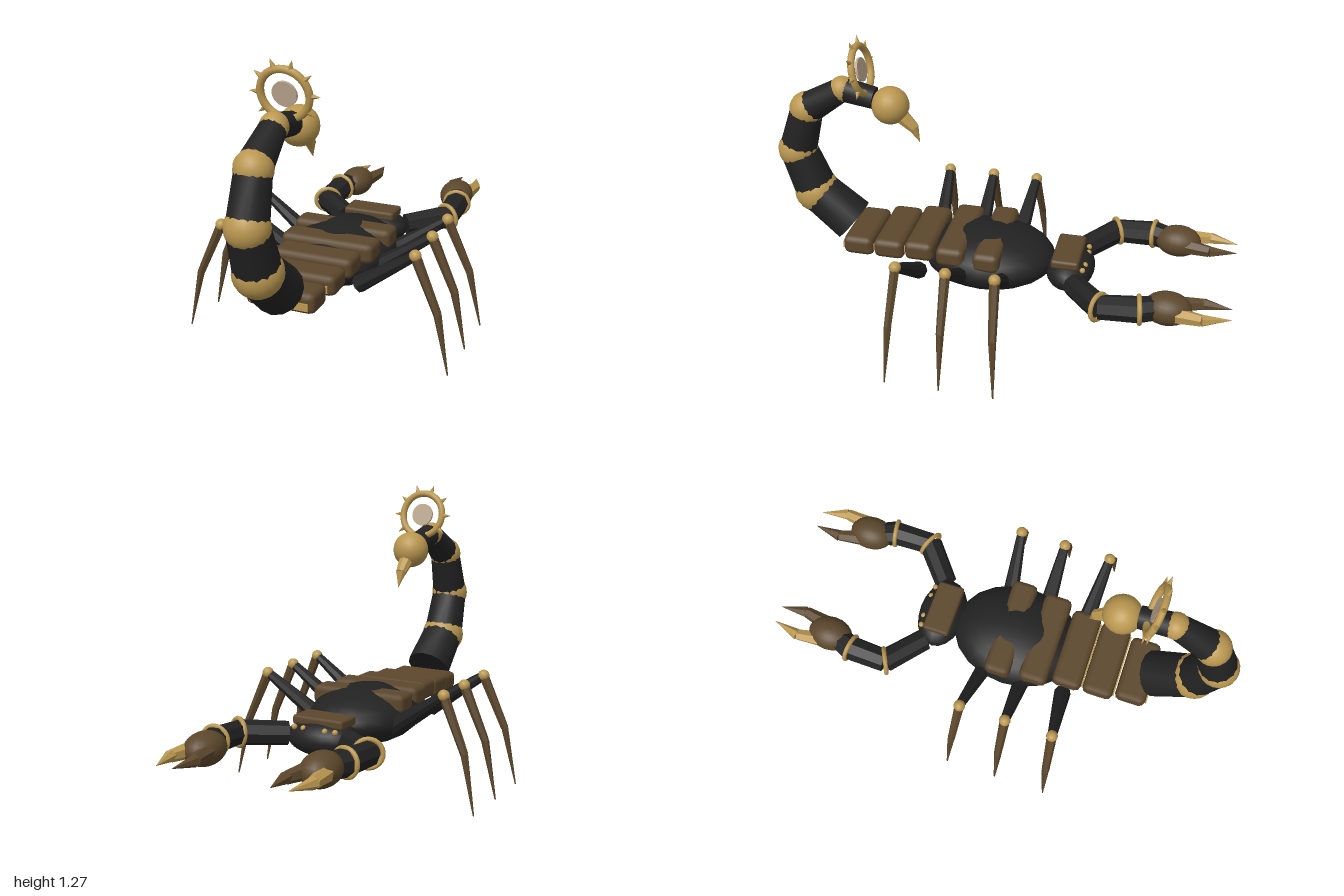
import * as THREE from 'three';
import { toCreasedNormals } from 'three/addons/utils/BufferGeometryUtils.js';
import { RoundedBoxGeometry } from 'three/addons/geometries/RoundedBoxGeometry.js';

const mat = (name, color) => {
  const m = new THREE.MeshStandardMaterial({ color });
  m.name = name;
  return m;
};

export function createModel() {
  const black = mat('black shell', 0x222222);
  const brown = mat('bronze brown', 0x5c472c);
  const gold = mat('gold', 0xba9750);
  const tan = mat('pale disc', 0xbfaa92);
  const root = new THREE.Group();
  root.name = 'scorpion';
  const V = (x, y, z) => new THREE.Vector3(x, y, z);
  const UP = V(0, 1, 0);

  const add = (parent, name, geo, material, pos = V(0, 0, 0)) => {
    const m = new THREE.Mesh(geo, material);
    m.name = name;
    m.position.copy(pos);
    parent.add(m);
    return m;
  };
  // Tapered segment from a to b
  const limb = (parent, name, a, b, ra, rb, material, sides = 8) => {
    const geo = toCreasedNormals(new THREE.CylinderGeometry(rb, ra, a.distanceTo(b), sides), 0.6);
    const m = add(parent, name, geo, material, a.clone().add(b).multiplyScalar(0.5));
    m.quaternion.setFromUnitVectors(UP, b.clone().sub(a).normalize());
    return m;
  };
  // Sphere stretched to three radii
  const ball = (parent, name, pos, rx, ry, rz, material) =>
    add(parent, name, new THREE.SphereGeometry(1, 20, 14).scale(rx, ry, rz), material, pos);
  const chamferBox = (w, h, d, r) => new RoundedBoxGeometry(w, h, d, 1, r);

  // Body and head
  ball(root, 'body', V(0, 0.325, 0.06), 0.23, 0.123, 0.29, black);
  ball(root, 'head', V(0, 0.305, -0.3), 0.16, 0.077, 0.105, black);
  add(root, 'headPlate', chamferBox(0.235, 0.04, 0.12, 0.012), brown, V(0, 0.375, -0.29));
  for (const x of [-0.095, -0.05, 0.05, 0.095])
    ball(root, 'eye', V(x, 0.352, -0.375 + Math.abs(x) * 0.1), 0.012, 0.012, 0.012, gold);

  // Back plates: z, width, top height, depth
  const plates = [
    [0.03, 0.44, 0.44, 0.115], [0.19, 0.41, 0.437, 0.125], [0.335, 0.35, 0.428, 0.13],
    [0.475, 0.33, 0.414, 0.135], [0.62, 0.29, 0.4, 0.135],
  ];
  plates.forEach(([z, w, top, d], i) => {
    add(root, 'backPlate', chamferBox(w, 0.085, d, 0.025), brown, V(0, top - 0.0425, z));
    if (i > 1) add(root, 'plateTrim', new THREE.BoxGeometry(w * 0.84, 0.03, 0.012), gold, V(0, top - 0.05, z + d / 2));
  });

  // Tail: tapered segments with gold joints, arching over the back
  const tail = new THREE.Group();
  tail.name = 'tail';
  root.add(tail);
  const path = [
    [0.405, 0.685, 0.102], [0.54, 0.845, 0.093], [0.738, 0.915, 0.081],
    [0.936, 0.856, 0.07], [1.043, 0.69, 0.052], [1.016, 0.55, 0.047],
  ];
  path.forEach(([y, z, r], i) => {
    const p = V(0, y, z);
    if (i > 0 && i < 5) ball(tail, 'tailJoint', p, r * 1.06, r * 1.06, r * 1.06, gold);
    if (i < 5) {
      const [y2, z2, r2] = path[i + 1];
      limb(tail, 'tailSegment', p, V(0, y2, z2), r, r2, black, 14);
    }
  });
  ball(tail, 'venomBulb', V(0, 0.99, 0.482), 0.08, 0.08, 0.08, gold);
  limb(tail, 'stingerBase', V(0, 0.95, 0.44), V(0, 0.895, 0.382), 0.034, 0.023, gold);
  limb(tail, 'stingerTip', V(0, 0.9, 0.386), V(0, 0.833, 0.36), 0.024, 0.001, gold);

  // Spiked ring with a disc at its centre
  const sun = new THREE.Group();
  sun.name = 'spikedRing';
  sun.position.set(0, 1.14, 0.6);
  sun.rotation.x = 0.2;
  root.add(sun);
  add(sun, 'ring', new THREE.TorusGeometry(0.098, 0.015, 10, 40), gold);
  add(sun, 'disc', new THREE.CylinderGeometry(0.05, 0.05, 0.01, 28).rotateX(Math.PI / 2), tan);
  for (let i = 0; i < 10; i++) {
    const a = (i * Math.PI) / 5, c = Math.cos(a), s = Math.sin(a);
    limb(sun, 'ringSpike', V(c * 0.105, s * 0.105, 0), V(c * 0.142, s * 0.142, 0), 0.012, 0.0005, gold, 6);
  }

  for (const s of [-1, 1]) {
    const side = s > 0 ? 'left' : 'right';
    // Legs: z at hip, knee and foot
    for (const [hz, kz, fz] of [[-0.035, -0.062, -0.088], [0.142, 0.142, 0.142], [0.33, 0.352, 0.375]]) {
      const leg = new THREE.Group();
      leg.name = side + 'Leg';
      root.add(leg);
      const hip = V(s * 0.18, 0.305, hz), knee = V(s * 0.425, 0.477, kz);
      const shin = V(s * 0.525, 0.25, (kz + fz) / 2), foot = V(s * 0.577, 0, fz);
      limb(leg, 'thigh', hip, knee, 0.037, 0.02, black);
      ball(leg, 'knee', knee, 0.025, 0.025, 0.025, gold);
      limb(leg, 'shin', knee, shin, 0.022, 0.017, brown, 6);
      limb(leg, 'foot', shin, foot, 0.017, 0.003, brown, 6);
    }

    // Arm with two gold cuffs
    const arm = new THREE.Group();
    arm.name = side + 'Arm';
    root.add(arm);
    const pts = [V(s * 0.145, 0.31, -0.335), V(s * 0.3, 0.325, -0.465), V(s * 0.295, 0.335, -0.63), V(s * 0.26, 0.335, -0.72)];
    limb(arm, 'upperArm', pts[0], pts[1], 0.05, 0.053, black);
    limb(arm, 'forearm', pts[1], pts[2], 0.052, 0.056, black);
    limb(arm, 'wrist', pts[2], pts[3], 0.056, 0.05, black);
    for (const i of [1, 2]) {
      const cuff = add(arm, 'cuff', new THREE.TorusGeometry(0.056, 0.01, 8, 24), gold, pts[i]);
      cuff.quaternion.setFromUnitVectors(V(0, 0, 1), pts[i + 1].clone().sub(pts[i - 1]).normalize());
    }
    ball(arm, 'palm', V(s * 0.26, 0.335, -0.74), 0.076, 0.068, 0.1, brown);

    // Pincers: gold outside, brown inside
    const finger = (name, xs, material) => {
      const [a, b, c] = [V(s * xs[0], 0.335, -0.78), V(s * xs[1], 0.335, -0.88), V(s * xs[2], 0.335, -0.997)];
      limb(arm, name, a, b, 0.034, 0.025, material, 6);
      limb(arm, name + 'Tip', b, c, 0.026, 0.001, material, 6);
    };
    finger('outerPincer', [0.3, 0.313, 0.285], gold);
    finger('innerPincer', [0.22, 0.2, 0.212], brown);
  }
  return root;
}
